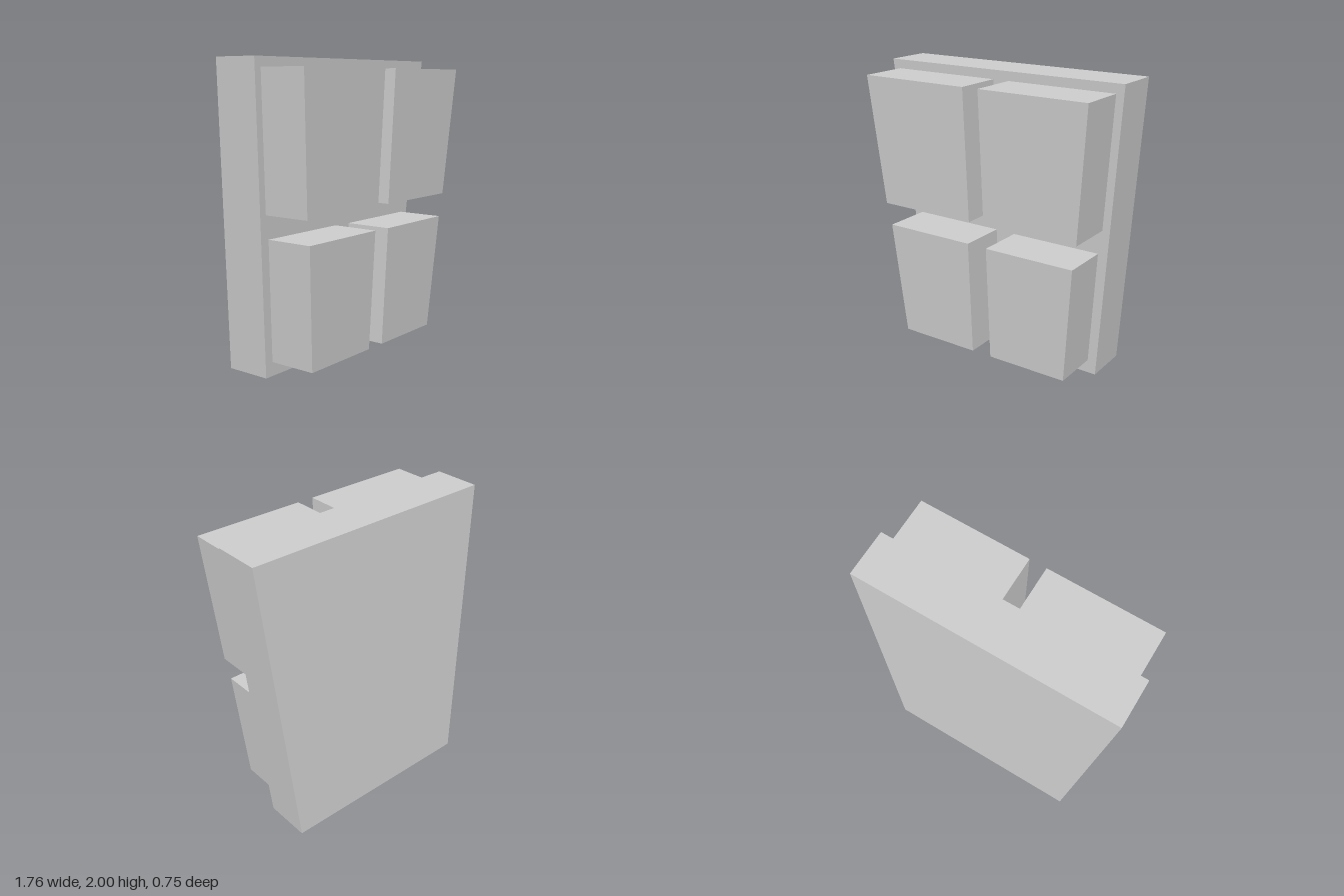
import * as THREE from 'three';

const material = new THREE.MeshStandardMaterial({ color: 0xcccccc, flatShading: true });
const LEAN = 0.055; // forward shift in z per unit of height
const FACE_Z = -0.06; // z of the slab's front face at ground level

// Extrude an outline between two depths, then lean it so tops and bottoms stay level.
function leaningBlock(name, outline, back, front) {
  const shape = new THREE.Shape(outline.map(([x, y]) => new THREE.Vector2(x, y)));
  const geometry = new THREE.ExtrudeGeometry(shape, { depth: front - back, bevelEnabled: false });
  const p = geometry.attributes.position;
  for (let i = 0; i < p.count; i++) {
    p.setZ(i, p.getZ(i) + back + FACE_Z + LEAN * p.getY(i));
  }
  geometry.computeVertexNormals();
  const mesh = new THREE.Mesh(geometry, material);
  mesh.name = name;
  return mesh;
}

export function createModel() {
  const group = new THREE.Group();
  group.name = 'panelledSlab';

  // Tapered backing slab
  group.add(leaningBlock('backSlab',
    [[-0.706, 0], [0.706, 0], [0.882, 2], [-0.882, 2]], -0.315, 0));

  // Four raised blocks, slightly sunk into the slab
  const blocks = {
    upperRightBlock: [[-0.75, 1.055], [-0.047, 1.055], [-0.047, 1.938], [-0.827, 1.938]],
    upperLeftBlock: [[0.068, 1.06], [0.746, 1.06], [0.823, 1.938], [0.068, 1.938]],
    lowerRightBlock: [[-0.652, 0.095], [-0.068, 0.095], [-0.064, 0.9], [-0.72, 0.9]],
    lowerLeftBlock: [[0.079, 0.095], [0.65, 0.095], [0.718, 0.896], [0.079, 0.896]],
  };
  for (const [name, outline] of Object.entries(blocks)) {
    group.add(leaningBlock(name, outline, -0.02, 0.33));
  }
  return group;
}
